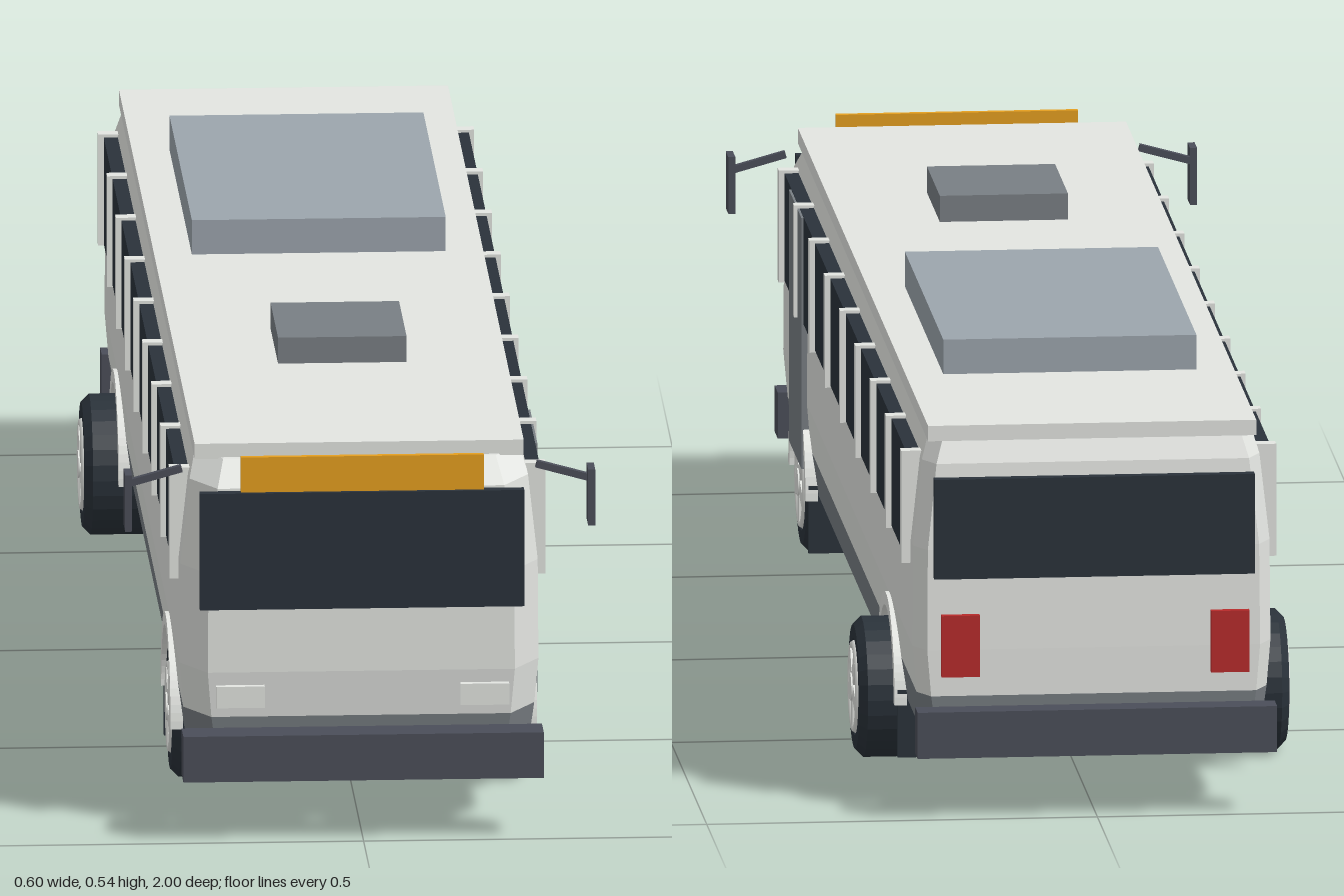
import * as THREE from 'three';

const mat = (name, color) => {
  const m = new THREE.MeshStandardMaterial({ color });
  m.name = name;
  return m;
};

export function createModel() {
  const bus = new THREE.Group();
  bus.name = 'bus';
  const paint = mat('bodyPaint', 0xe3e5e1);
  const grey = mat('midGrey', 0x797f84);
  const unit = mat('roofUnitGrey', 0x9ca5ad);
  const charcoal = mat('charcoal', 0x2a323a);
  const bumperMat = mat('bumperGrey', 0x4b4e59);
  const amber = mat('amber', 0xe59f1f);
  const red = mat('red', 0xb82b2b);

  const add = (name, geo, material, parent = bus) => {
    const m = new THREE.Mesh(geo, material);
    m.name = name;
    parent.add(m);
    return m;
  };
  // Box given by its limits on each axis
  const box = (name, material, [x0, x1], [y0, y1], [z0, z1]) => {
    const m = add(name, new THREE.BoxGeometry(x1 - x0, y1 - y0, z1 - z0), material);
    m.position.set((x0 + x1) / 2, (y0 + y1) / 2, (z0 + z1) / 2);
    return m;
  };
  // Mirrored limits for the two sides
  const sideX = (s, a, b) => (s > 0 ? [a, b] : [-b, -a]);

  // Faceted hull: eight-cornered plan at each level [y, halfWidth, zFront, zBack]
  const hull = (levels) => {
    const rings = levels.map(([y, w, zf, zb]) => {
      const half = [[w - 0.033, zf], [w, zf - 0.055], [w, zb + 0.03], [w - 0.016, zb]];
      const other = half.map(([x, z]) => [-x, z]).reverse();
      return [...half, ...other].map(([x, z]) => [x, y, z]);
    });
    const p = [];
    const tri = (a, b, c) => p.push(...a, ...b, ...c);
    for (let k = 0; k < rings.length - 1; k++) {
      const lo = rings[k], up = rings[k + 1];
      for (let i = 0; i < 8; i++) {
        const j = (i + 1) % 8;
        tri(lo[i], lo[j], up[j]);
        tri(lo[i], up[j], up[i]);
      }
    }
    const bottom = rings[0], top = rings[rings.length - 1];
    for (let i = 1; i < 7; i++) {
      tri(bottom[0], bottom[i + 1], bottom[i]);
      tri(top[0], top[i], top[i + 1]);
    }
    const g = new THREE.BufferGeometry();
    g.setAttribute('position', new THREE.Float32BufferAttribute(p, 3));
    g.computeVertexNormals();
    return g;
  };

  // Skirt includes the flat underside
  add('skirt', hull([[0.097, 0.217, 0.932, -0.945], [0.15, 0.224, 0.938, -0.948]]), grey);
  add('body', hull([
    [0.15, 0.224, 0.938, -0.948],
    [0.21, 0.229, 0.945, -0.948],
    [0.34, 0.228, 0.945, -0.945],
    [0.45, 0.216, 0.938, -0.935],
    [0.48, 0.207, 0.9, -0.922],
  ]), paint);
  box('roof', paint, [-0.21, 0.21], [0.478, 0.498], [-0.927, 0.893]);
  box('roofUnit', unit, [-0.162, 0.162], [0.498, 0.543], [-0.615, -0.078]);
  box('roofHatch', grey, [-0.082, 0.082], [0.498, 0.532], [0.307, 0.487]);

  // Front and rear fittings
  box('frontBumper', bumperMat, [-0.23, 0.23], [0.08, 0.14], [0.955, 1]);
  box('rearBumper', bumperMat, [-0.23, 0.23], [0.08, 0.14], [-1, -0.965]);
  box('windshield', charcoal, [-0.207, 0.207], [0.297, 0.45], [0.95, 0.964]);
  box('rearWindow', charcoal, [-0.205, 0.205], [0.305, 0.435], [-0.962, -0.948]);
  box('destinationSign', amber, [-0.155, 0.155], [0.453, 0.499], [0.962, 0.97]);
  for (const s of [1, -1]) {
    box('headlight', paint, sideX(s, 0.125, 0.187), [0.172, 0.2], [0.971, 0.98]);
    box('tailLight', red, sideX(s, 0.148, 0.197), [0.18, 0.26], [-0.975, -0.965]);
  }

  // Side windows with posts
  const pitch = 0.2138, firstPost = 0.84;
  for (const s of [1, -1]) {
    for (let i = 0; i < 9; i++) {
      const z = firstPost - i * pitch;
      box('windowPost', paint, sideX(s, 0.212, 0.24), [0.31, 0.456], [z - 0.009, z + 0.009]);
      if (i < 8) {
        box('sideWindow', charcoal, sideX(s, 0.21, 0.233), [0.313, 0.453], [z - pitch + 0.012, z - 0.012]);
      }
    }
  }
  box('door', grey, [0.205, 0.236], [0.125, 0.452], [0.56, 0.735]);

  // Mirrors on sloping arms
  for (const s of [1, -1]) {
    box('mirror', bumperMat, sideX(s, 0.291, 0.3), [0.39, 0.464], [0.882, 0.918]);
    const arm = add('mirrorArm', new THREE.BoxGeometry(0.07, 0.009, 0.009), bumperMat);
    arm.position.set(s * 0.26, 0.456, 0.888);
    arm.rotation.z = -s * 0.27;
  }

  // Wheel running from inner face to outer face along x
  const wheel = (name, inner, outer, s, z) => {
    const g = new THREE.Group();
    g.name = name;
    const h = (outer - inner) / 2;
    const profile = [[0.058, -h + 0.006], [0.062, -h], [0.08, -h], [0.09, -h + 0.01],
      [0.09, h - 0.01], [0.08, h], [0.062, h], [0.058, h - 0.006]]
      .map(([r, y]) => new THREE.Vector2(r, y));
    const tyreGeo = new THREE.LatheGeometry(profile, 28).toNonIndexed();
    tyreGeo.computeVertexNormals();
    add('tyre', tyreGeo, charcoal, g);
    add('wheelDisc', new THREE.CylinderGeometry(0.06, 0.06, 2 * h - 0.01, 28), paint, g);
    for (const e of [1, -1]) {
      const rim = add('rim', new THREE.TorusGeometry(0.054, 0.006, 6, 28), paint, g);
      rim.rotation.x = Math.PI / 2;
      rim.position.y = e * (h - 0.002);
      const cap = add('hubCap', new THREE.CylinderGeometry(0.018, 0.018, 0.01, 16), paint, g);
      cap.position.y = e * h;
      for (let i = 0; i < 5; i++) {
        const a = (i / 5) * Math.PI * 2;
        const spoke = add('spoke', new THREE.BoxGeometry(0.044, 0.008, 0.021), paint, g);
        spoke.position.set(Math.cos(a) * 0.034, e * (h - 0.001), -Math.sin(a) * 0.034);
        spoke.rotation.y = a;
      }
    }
    g.rotation.z = -Math.PI / 2;
    g.position.set(s * (inner + outer) / 2, 0.09, z);
    bus.add(g);
  };

  // Arch trim: half ring extruded sideways
  const archShape = new THREE.Shape();
  archShape.absarc(0, 0, 0.121, 0, Math.PI, false);
  archShape.absarc(0, 0, 0.104, Math.PI, 0, true);
  const archGeo = new THREE.ExtrudeGeometry(archShape, { depth: 0.016, bevelEnabled: false, curveSegments: 18 });
  archGeo.translate(0, 0, -0.008);

  for (const s of [1, -1]) {
    wheel('frontWheel', 0.158, 0.229, s, 0.645);
    wheel('rearWheel', 0.158, 0.275, s, -0.6);
    for (const z of [0.645, -0.6]) {
      const arch = add('wheelArch', archGeo, paint);
      arch.rotation.y = Math.PI / 2;
      arch.position.set(s * 0.226, 0.09, z);
      box('mudFlap', charcoal, sideX(s, 0.152, 0.23), [0.022, 0.11], [z - 0.12, z - 0.113]);
    }
  }
  return bus;
}
